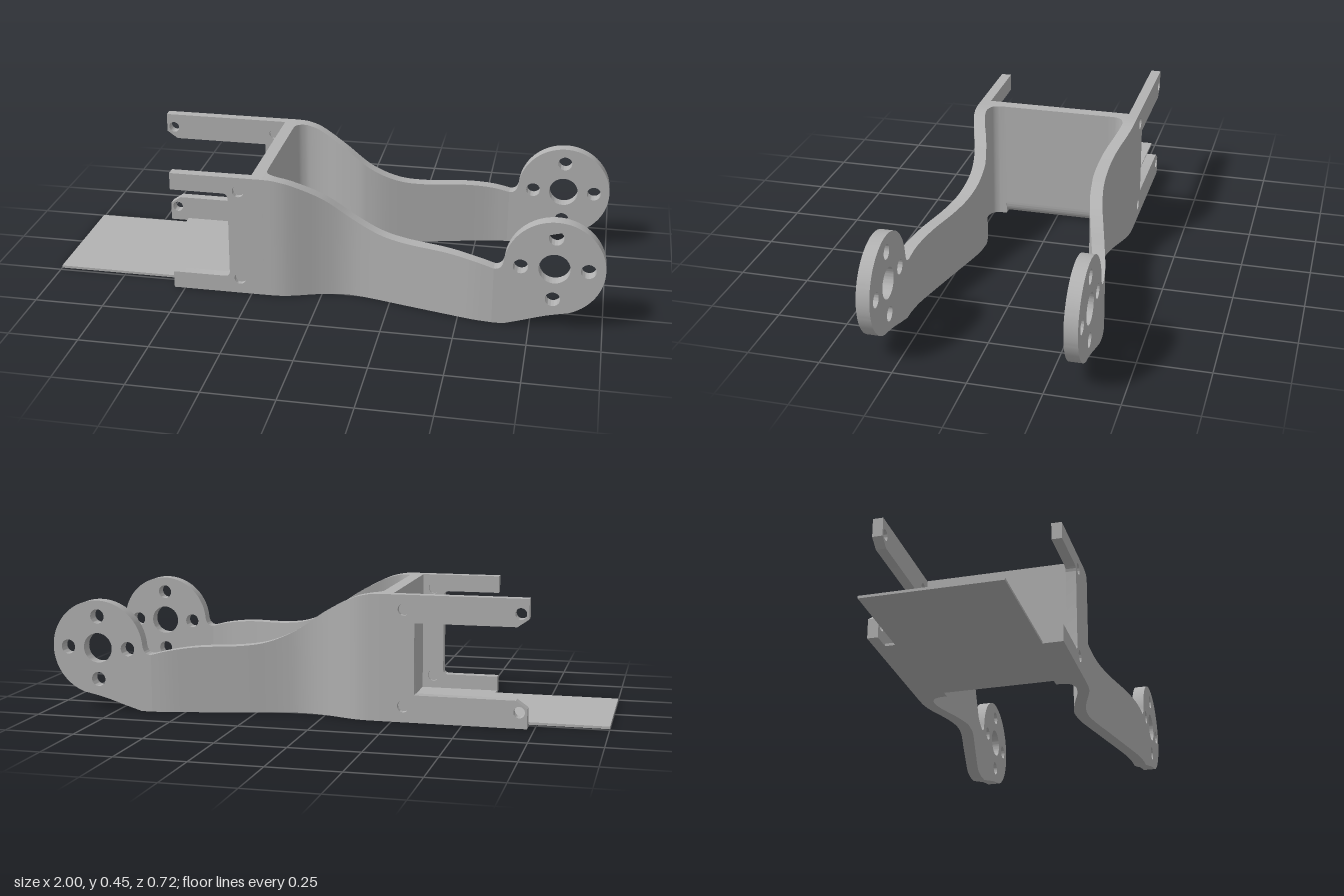
import * as THREE from 'three';
import { toCreasedNormals } from 'three/addons/utils/BufferGeometryUtils.js';

const V = (p) => new THREE.Vector2(p[0], p[1]);
const OUT = 0.307, IN = 0.27;            // side panel outer and inner z
const X0 = -0.205, X1 = 0.62;            // curved arm start and end

// Smooth curve through points, looked up by x
function profile(points) {
  const pts = new THREE.SplineCurve(points.map(V)).getPoints(300);
  return (x) => {
    for (let i = 1; i < pts.length; i++) {
      if (pts[i].x >= x && pts[i].x > pts[i - 1].x) {
        const t = (x - pts[i - 1].x) / (pts[i].x - pts[i - 1].x);
        return THREE.MathUtils.lerp(pts[i - 1].y, pts[i].y, THREE.MathUtils.clamp(t, 0, 1));
      }
    }
    return pts[pts.length - 1].y;
  };
}

function hole(shape, x, y, r) {
  shape.holes.push(new THREE.Path().absarc(x, y, r, 0, Math.PI * 2, true));
}

// Flat slab between two z values
function slab(shape, z0, z1) {
  const g = new THREE.ExtrudeGeometry(shape, { depth: z1 - z0, bevelEnabled: false, curveSegments: 40 });
  g.translate(0, 0, z0);
  return toCreasedNormals(g, 0.6);
}

// Mirror across z = 0, keeping faces outward
function mirrorZ(geometry) {
  const g = geometry.index ? geometry.toNonIndexed() : geometry.clone();
  g.scale(1, 1, -1);
  for (const name of ['position', 'normal']) {
    const a = g.attributes[name];
    for (let i = 0; i < a.count; i += 3) {
      const b = [a.getX(i + 1), a.getY(i + 1), a.getZ(i + 1)];
      a.setXYZ(i + 1, a.getX(i + 2), a.getY(i + 2), a.getZ(i + 2));
      a.setXYZ(i + 2, ...b);
    }
  }
  return g;
}

// Wavy arm lofted from rectangular sections along x
function armGeometry() {
  const top = profile([[X0, 0.45], [-0.16, 0.446], [-0.1, 0.428], [0, 0.375], [0.1, 0.306], [0.2, 0.26],
    [0.3, 0.243], [0.45, 0.238], [0.55, 0.225], [X1, 0.208]]);
  const outer = profile([[X0, OUT], [-0.15, 0.305], [-0.1, 0.295], [0, 0.262], [0.08, 0.249], [0.16, 0.258],
    [0.3, 0.292], [0.45, 0.328], [0.55, 0.351], [X1, 0.36]]);
  const inner = profile([[X0, 0.2], [-0.204, 0.225], [-0.195, 0.247], [-0.175, 0.259], [-0.15, 0.262],
    [-0.1, 0.252], [-0.02, 0.224], [0.05, 0.206], [0.09, 0.204], [0.16, 0.212], [0.3, 0.246],
    [0.45, 0.283], [0.55, 0.306], [X1, 0.314]]);
  const N = 90, pos = [], idx = [];
  for (let side = 0; side < 4; side++) {
    const base = pos.length / 3;
    for (let i = 0; i <= N; i++) {
      const x = X0 + (X1 - X0) * Math.pow(i / N, 1.5);
      const c = [[0, outer(x)], [top(x), outer(x)], [top(x), inner(x)], [0, inner(x)]];
      pos.push(x, ...c[side], x, ...c[(side + 1) % 4]);
      if (i < N) {
        const a = base + i * 2;
        idx.push(a, a + 2, a + 3, a, a + 3, a + 1);
      }
    }
  }
  const g = new THREE.BufferGeometry();
  g.setAttribute('position', new THREE.Float32BufferAttribute(pos, 3));
  g.setIndex(idx);
  g.computeVertexNormals();
  return g;
}

// Round end of the arm with its bolt circle
function hubGeometry() {
  const cx = 0.825, cy = 0.225, deg = Math.PI / 180;
  const s = new THREE.Shape();
  s.moveTo(X1, 0);
  s.lineTo(0.66, 0);
  s.splineThru([[0.72, 0.018], [0.8, 0.043], [0.87, 0.059]].map(V));
  s.absarc(cx, cy, 0.173, -74 * deg, 175 * deg, false);
  s.quadraticCurveTo(0.648, 0.207, X1, 0.208);
  s.closePath();
  hole(s, cx, cy, 0.054);
  for (let i = 0; i < 4; i++) {
    const a = i * Math.PI / 2;
    hole(s, cx + 0.115 * Math.cos(a), cy + 0.115 * Math.sin(a), 0.026);
  }
  return slab(s, 0.314, 0.36);
}

// Side panel with two prongs; long prongs are chamfered and drilled
function panelGeometry(long) {
  const end = long ? -0.725 : -0.54;
  const h = long ? 0.098 : 0.063;
  const c = long ? 0.04 : 0;
  const r = long ? 0.003 : 0.02;
  const s = new THREE.Shape();
  s.moveTo(end, 0);
  s.lineTo(X0, 0);
  s.lineTo(X0, 0.45);
  s.lineTo(end, 0.45);
  s.lineTo(end, 0.45 - h + c * 0.7);
  if (long) s.lineTo(end + c, 0.45 - h);
  s.lineTo(-0.33 - r, 0.45 - h);
  s.quadraticCurveTo(-0.33, 0.45 - h, -0.33, 0.45 - h - r);
  s.lineTo(-0.33, h + r);
  s.quadraticCurveTo(-0.33, h, -0.33 - r, h);
  s.lineTo(end + c, h);
  if (long) s.lineTo(end, h - c * 0.7);
  s.closePath();
  for (const y of [0.057, 0.398]) {
    hole(s, -0.292, y, 0.021);
    if (long) hole(s, -0.697, y, 0.02);
  }
  return slab(s, IN, OUT);
}

export function createModel() {
  const group = new THREE.Group();
  const grey = new THREE.MeshStandardMaterial({ color: 0xb2b2b2 });
  grey.name = 'grey';
  const add = (name, geometry) => {
    const m = new THREE.Mesh(geometry, grey);
    m.name = name;
    group.add(m);
    return m;
  };

  // Parts shared by both sides
  const arm = armGeometry(), hub = hubGeometry();
  const corner = new THREE.BoxGeometry(0.045, 0.45, 0.07).translate(-0.2275, 0.225, 0.235);
  add('leftArm', arm);
  add('rightArm', mirrorZ(arm));
  add('leftHub', hub);
  add('rightHub', mirrorZ(hub));
  add('leftWallCorner', corner);
  add('rightWallCorner', mirrorZ(corner));

  // Short front panel, long back panel
  add('frontPanel', panelGeometry(false));
  add('backPanel', mirrorZ(panelGeometry(true)));

  // Recessed floors of the inner screw holes
  for (const s of [1, -1]) for (const y of [0.057, 0.398]) {
    const floor = add('screwHoleFloor', new THREE.CylinderGeometry(0.021, 0.021, 0.008, 24));
    floor.rotation.x = Math.PI / 2;
    floor.position.set(-0.292, y, s * 0.285);
  }

  // Cross wall with rounded lower edge
  const w = new THREE.Shape();
  w.moveTo(-0.25, 0);
  w.quadraticCurveTo(X0, 0, X0, 0.05);
  w.lineTo(X0, 0.45);
  w.lineTo(-0.25, 0.45);
  w.closePath();
  add('crossWall', slab(w, -0.2, 0.2));

  // Thin stepped base plate
  const p = new THREE.Shape([[-1, -0.235], [-0.54, -0.235], [-0.54, -IN], [-0.25, -IN], [-0.25, IN],
    [-0.655, IN], [-0.655, 0.235], [-1, 0.235]].map(V));
  const plate = slab(p, 0, 0.009);
  plate.rotateX(-Math.PI / 2);
  add('basePlate', plate);

  return group;
}
